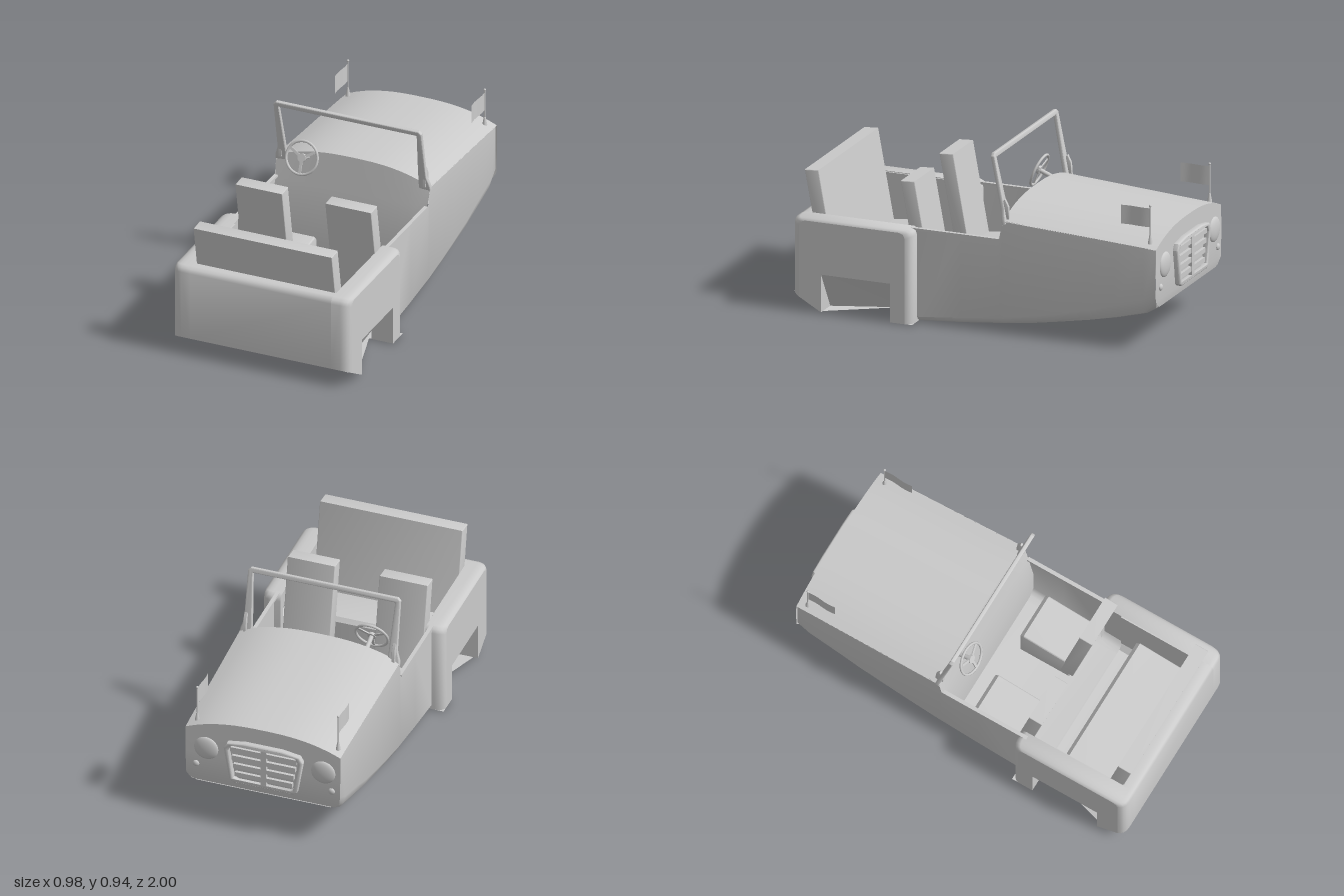
import * as THREE from 'three';
import { toCreasedNormals } from 'three/addons/utils/BufferGeometryUtils.js';

const grey = new THREE.MeshStandardMaterial({ color: 0xcccccc });
const shell = new THREE.MeshStandardMaterial({ color: 0xcccccc, side: THREE.DoubleSide });

function add(parent, name, geometry, x = 0, y = 0, z = 0, material = grey) {
  const mesh = new THREE.Mesh(geometry, material);
  mesh.name = name;
  mesh.position.set(x, y, z);
  parent.add(mesh);
  return mesh;
}

// Open surface through rows of [x, y, z] points
function loft(rows, crease = 0.6) {
  const n = rows[0].length, index = [];
  for (let i = 0; i < rows.length - 1; i++) {
    for (let j = 0; j < n - 1; j++) {
      const a = i * n + j, b = a + n;
      index.push(a, b, a + 1, b, b + 1, a + 1);
    }
  }
  const g = new THREE.BufferGeometry();
  g.setAttribute('position', new THREE.Float32BufferAttribute(rows.flat(2), 3));
  g.setIndex(index);
  return toCreasedNormals(g, crease);
}

const shapeOf = (points) => new THREE.Shape(points.map(([x, y]) => new THREE.Vector2(x, y)));

// Side profile of [z, y] points, extruded across x and centred
function acrossX(points, width, bevel) {
  const depth = width - 2 * bevel;
  const g = new THREE.ExtrudeGeometry(shapeOf(points), {
    depth, bevelSize: bevel, bevelThickness: bevel, bevelOffset: -bevel, bevelSegments: 3,
  });
  g.translate(0, 0, -depth / 2);
  g.rotateY(-Math.PI / 2);
  return toCreasedNormals(g, 0.6);
}

// Hull stations: z, bottom, top, half width, corner radius
const hull = [
  [0.46, 0.005, 0.5, 0.42, 0.03], [0.33, 0.002, 0.5, 0.425, 0.03], [0.1, 0.02, 0.5, 0.425, 0.035],
  [-0.112, 0.042, 0.5, 0.425, 0.04], [-0.13, 0.043, 0.6, 0.425, 0.04], [-0.3, 0.065, 0.588, 0.424, 0.05],
  [-0.42, 0.085, 0.581, 0.423, 0.055], [-0.6, 0.117, 0.57, 0.422, 0.065], [-0.74, 0.147, 0.561, 0.42, 0.08],
  [-0.9, 0.19, 0.551, 0.418, 0.08], [-0.965, 0.23, 0.547, 0.412, 0.07],
];

// Arched line across the hood
function arch(z, edge, crown, half) {
  return Array.from({ length: 17 }, (_, i) => {
    const u = i / 8 - 1;
    return [u * half, edge + (crown - edge) * (1 - Math.abs(u) ** 2.6), z];
  });
}

function buildBody(car) {
  for (const s of [-1, 1]) {
    add(car, 'hullSide', loft(hull.map(([z, b, t, w, r]) => [
      [s * w, t, z], [s * w, b + r, z], [s * (w - 0.012), b + r * 0.45, z],
      [s * (w - 0.03), b + r * 0.12, z], [s * 0.36, b, z],
    ])), 0, 0, 0, shell);
    add(car, 'cockpitRail', new THREE.BoxGeometry(0.02, 0.012, 0.49), s * 0.416, 0.494, 0.14);
  }

  // Underside, open below the engine bay
  for (const part of [hull.slice(0, 7), hull.slice(8)]) {
    add(car, 'hullBottom', loft(part.map(([z, b]) => [[-0.36, b, z], [0.36, b, z]])), 0, 0, 0, shell);
  }

  // Hood, nose and dashboard
  const hoodRows = [-0.135, -0.3, -0.5, -0.7, -0.9, -0.97].map((z) => {
    const t = (-z - 0.135) / 0.835;
    return arch(z, 0.597 - 0.052 * t, 0.672 - 0.055 * t, 0.429 - 0.012 * t);
  });
  add(car, 'hood', loft(hoodRows), 0, 0, 0, shell);
  const nose = hoodRows[5];
  add(car, 'nosePanel', loft([
    nose,
    nose.map(([x]) => [x, 0.4, -0.972]),
    nose.map(([x]) => [x * 0.99, 0.27, -0.97]),
    nose.map(([x]) => [x * 0.93, 0.232, -0.962]),
  ]), 0, 0, 0, shell);
  add(car, 'dashboard', loft([
    hoodRows[0],
    hoodRows[0].map(([x]) => [x * 0.98, 0.49, -0.105]),
    hoodRows[0].map(([x]) => [x * 0.98, 0.3, -0.075]),
    hoodRows[0].map(([x]) => [x * 0.98, 0.09, -0.075]),
    hoodRows[0].map(([x]) => [x * 0.9, 0.043, -0.075]),
  ]), 0, 0, 0, shell);

  // Tail wraps from the rim under the rear seat: z, y, half width
  const tail = [[0.93, 0.5, 0.39], [0.97, 0.5, 0.39], [0.991, 0.491, 0.39], [1, 0.47, 0.39],
    [1, 0.1, 0.39], [0.998, 0.099, 0.46], [0.975, 0.085, 0.47], [0.84, 0.01, 0.465], [0.46, 0.05, 0.37]];
  add(car, 'tailPanel', loft(tail.map(([z, y, w]) => [[-w, y, z], [w, y, z]]), 1.0), 0, 0, 0, shell);
  add(car, 'tailInnerPanel', new THREE.BoxGeometry(0.78, 0.4, 0.01), 0, 0.295, 0.935);
}

// Edge of a rear fender from front foot over the top to the tail, as [z, y]
function fenderEdge(inset) {
  const a = 0.34 + inset, b = 1 - inset, top = 0.5 - inset * 0.35;
  return [[a, 0.005], [a, top - 0.03], [a + 0.009, top - 0.009], [a + 0.03, top],
    [b - 0.03, top], [b - 0.009, top - 0.009], [b, top - 0.03], [b, 0.1 - inset * 0.55]];
}

function buildFenders(car) {
  const bend = [0, 0.25, 0.5, 0.75, 1].map((k) => k * Math.PI / 2);
  const cutout = [[0.84, 0.01], [0.84, 0.21], [0.46, 0.21], [0.46, 0.005]];
  const wellOuter = [[0.34, 0.005], [0.46, 0.005], [0.46, 0.21], [0.84, 0.21], [0.84, 0.01]];
  const wellInner = [[0.34, 0.005], [0.46, 0.005], [0.46, 0.05], [0.84, 0.01], [0.84, 0.01]];
  for (const s of [-1, 1]) {
    const at = (x, points) => points.map(([z, y]) => [s * x, y, z]);
    // Rounded rim
    const rows = [at(0.39, fenderEdge(0))];
    for (const t of bend) rows.push(at(0.44 + 0.05 * Math.sin(t), fenderEdge(0.04 * (1 - Math.cos(t)))));
    add(car, 'fenderRim', loft(rows, 0.9), 0, 0, 0, shell);
    // Flat side with the wheel cutout
    const side = new THREE.ShapeGeometry(shapeOf([...fenderEdge(0.04), ...cutout])).rotateY(-Math.PI / 2);
    add(car, 'fenderSide', side, s * 0.49, 0, 0, shell);
    // Wheel well slanting inward, and the inner cabin wall
    add(car, 'wheelWell', loft([at(0.489, wellOuter), at(0.37, wellInner)]), 0, 0, 0, shell);
    add(car, 'rearCabinWall', new THREE.BoxGeometry(0.01, 0.38, 0.47), s * 0.39, 0.305, 0.695);
  }
}

function buildSeat(car, name, x, width, dz, front) {
  const seat = new THREE.Group();
  seat.name = name;
  add(seat, 'seatBack', acrossX([[0.265, 0.1], [0.34, 0.1], [0.455, 0.72], [0.38, 0.725]], width, 0.004), x, 0, dz);
  add(seat, 'seatCushion', acrossX([[front, 0.07], [0.32, 0.07], [0.32, 0.25], [front + 0.02, 0.28], [front, 0.26]],
    width, 0.008), x, 0, dz);
  car.add(seat);
}

function buildWindscreen(car) {
  const frame = shapeOf([
    [-0.43, 0], [-0.428, 0.03], [-0.412, 0.08], [-0.41, 0.355], [-0.395, 0.37], [0.395, 0.37],
    [0.41, 0.355], [0.412, 0.08], [0.428, 0.03], [0.43, 0], [0.365, 0], [0.37, 0.12],
    [0.383, 0.343], [-0.383, 0.343], [-0.37, 0.12], [-0.365, 0],
  ]);
  const g = new THREE.ExtrudeGeometry(frame, {
    depth: 0.012, bevelSize: 0.005, bevelThickness: 0.005, bevelOffset: -0.005, bevelSegments: 3,
  });
  add(car, 'windscreenFrame', toCreasedNormals(g, 0.6), 0, 0.582, -0.145).rotation.x = 0.2;
  // Brackets at the foot of each post
  const bracket = [[-0.115, 0.6], [-0.16, 0.6], [-0.155, 0.67], [-0.135, 0.71], [-0.115, 0.68]];
  for (const s of [-1, 1]) add(car, 'windscreenBracket', acrossX(bracket, 0.016, 0.002), s * 0.4);
}

function buildSteering(car) {
  const wheel = new THREE.Group();
  wheel.name = 'steeringWheel';
  wheel.position.set(-0.245, 0.662, -0.045);
  wheel.rotation.x = -0.38;
  add(wheel, 'rim', new THREE.TorusGeometry(0.086, 0.007, 8, 32));
  add(wheel, 'hub', new THREE.CylinderGeometry(0.022, 0.022, 0.014, 16).rotateX(Math.PI / 2));
  add(wheel, 'column', new THREE.CylinderGeometry(0.012, 0.012, 0.08, 12).rotateX(Math.PI / 2), 0, 0, -0.04);
  for (let i = 0; i < 3; i++) {
    const spoke = new THREE.BoxGeometry(0.014, 0.07, 0.006).translate(0, 0.05, 0);
    add(wheel, 'spoke', spoke).rotation.z = Math.PI / 3 + (i * 2 * Math.PI) / 3;
  }
  car.add(wheel);
}

function buildNoseDetails(car) {
  // Grille frame with bars
  const outline = (k) => [[-0.16, -0.12], [0.16, -0.12], [0.182, -0.105], [0.213, 0.08], [0.195, 0.112],
    [0.1, 0.127], [-0.1, 0.127], [-0.195, 0.112], [-0.213, 0.08], [-0.182, -0.105]].map(([x, y]) => [x * k, y * k]);
  const frame = shapeOf(outline(1));
  frame.holes.push(shapeOf(outline(0.88)));
  const g = new THREE.ExtrudeGeometry(frame, {
    depth: 0.02, bevelSize: 0.008, bevelThickness: 0.008, bevelOffset: -0.008, bevelSegments: 3,
  });
  add(car, 'grilleFrame', toCreasedNormals(g, 0.7), -0.01, 0.402, -0.992);
  add(car, 'grillePost', new THREE.BoxGeometry(0.03, 0.23, 0.02), -0.01, 0.405, -0.982);
  for (let i = 0; i < 4; i++) {
    add(car, 'grilleBar', new THREE.BoxGeometry(0.31 + i * 0.016, 0.025, 0.016), -0.01, 0.33 + i * 0.049, -0.982);
  }

  // Lamps
  for (const s of [-1, 1]) {
    add(car, 'headlamp', new THREE.SphereGeometry(0.066, 24, 16), s * 0.315 - 0.01, 0.44, -0.97).scale.z = 0.3;
    add(car, 'smallLamp', new THREE.SphereGeometry(0.018, 16, 10), s * 0.365 - 0.005, 0.335, -0.972).scale.z = 0.6;
  }

  // Corner flags
  for (const x of [-0.387, 0.372]) {
    const flag = new THREE.Group();
    flag.name = 'cornerFlag';
    flag.position.set(x, 0.55, -0.92);
    add(flag, 'flagBase', new THREE.CylinderGeometry(0.005, 0.013, 0.045, 12), 0, 0.035, 0);
    add(flag, 'flagPole', new THREE.CylinderGeometry(0.0035, 0.0035, 0.21, 8), 0, 0.11, 0);
    add(flag, 'poleTip', new THREE.SphereGeometry(0.007, 10, 8), 0, 0.213, 0);
    const cloth = Array.from({ length: 9 }, (_, i) => {
      const z = i * 0.02, wave = 0.003 * Math.sin(i * 0.8);
      return [[wave, 0.1, z], [wave, 0.2, z]];
    });
    add(flag, 'flagCloth', loft(cloth), 0, 0, 0, shell);
    car.add(flag);
  }
}

export function createModel() {
  const car = new THREE.Group();
  car.name = 'openCar';
  buildBody(car);
  buildFenders(car);
  buildSeat(car, 'frontSeatRight', -0.258, 0.26, 0, 0.03);
  buildSeat(car, 'frontSeatLeft', 0.238, 0.255, 0, 0.03);
  buildSeat(car, 'rearBench', 0, 0.768, 0.52, 0.035);
  buildWindscreen(car);
  buildSteering(car);
  buildNoseDetails(car);
  return car;
}
